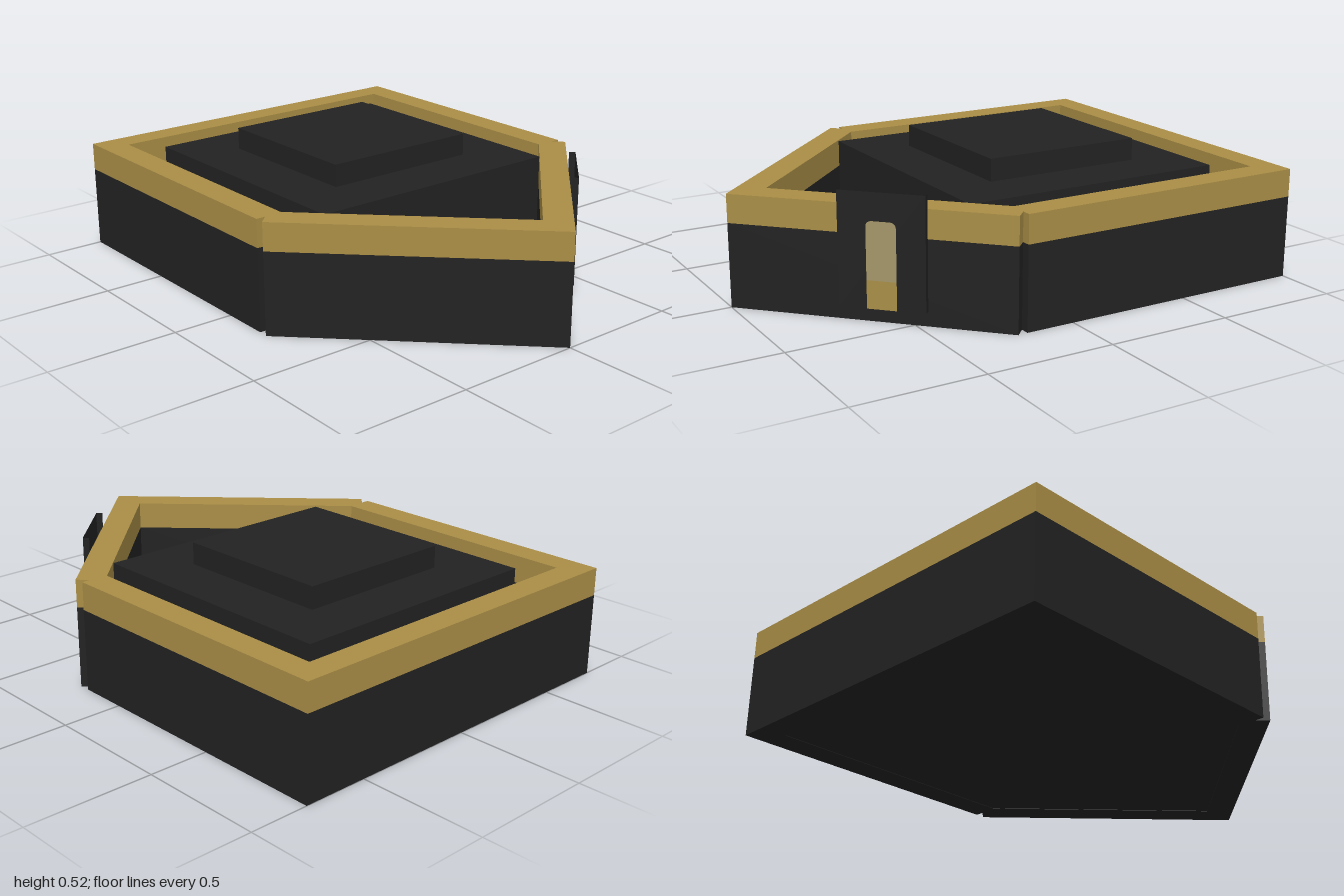
import * as THREE from 'three';

const dark = new THREE.MeshStandardMaterial({ color: 0x222222, side: THREE.DoubleSide });
dark.name = 'charcoal';
const gold = new THREE.MeshStandardMaterial({ color: 0xaa8e46 });
gold.name = 'gold';
const glass = new THREE.MeshStandardMaterial({ color: 0xa5976b });
glass.name = 'pale glass';

// Upright prism from a plan outline of [x, z] points
function prism(name, plan, y0, y1, material) {
  const shape = new THREE.Shape(plan.map(([x, z]) => new THREE.Vector2(x, -z)));
  const geo = new THREE.ExtrudeGeometry(shape, { depth: y1 - y0, bevelEnabled: false });
  geo.rotateX(-Math.PI / 2).translate(0, y0, 0);
  const mesh = new THREE.Mesh(geo, material);
  mesh.name = name;
  return mesh;
}

const rect = (x, z0, z1) => [[-x, z0], [x, z0], [x, z1], [-x, z1]];

function createDoor() {
  const door = new THREE.Group();
  door.name = 'door';
  const add = (name, geo, material, x, y, z, ry = 0) => {
    const mesh = new THREE.Mesh(geo, material);
    mesh.name = name;
    mesh.position.set(x, y, z);
    mesh.rotation.y = ry;
    door.add(mesh);
  };
  // Open-topped surround standing proud of the wall
  const w = 0.325, h = 0.433, d = 0.025, y = 0.273;
  add('doorSurround', new THREE.PlaneGeometry(w, h), dark, 0, y, 0);
  for (const s of [-1, 1])
    add('doorSurroundSide', new THREE.PlaneGeometry(d, h), dark, s * w / 2, y, -d / 2, s * Math.PI / 2);

  // Pane with rounded top corners, and the kick panel below it
  const a = 0.056, r = 0.025, top = 0.385;
  const pane = new THREE.Shape();
  pane.moveTo(-a, 0.165);
  pane.lineTo(a, 0.165);
  pane.lineTo(a, top - r);
  pane.quadraticCurveTo(a, top, a - r, top);
  pane.lineTo(-a + r, top);
  pane.quadraticCurveTo(-a, top, -a, top - r);
  add('doorPane', new THREE.ShapeGeometry(pane), glass, 0, 0, 0.004);
  add('doorKickPanel', new THREE.PlaneGeometry(2 * a, 0.107), gold, 0, 0.1115, 0.004);

  door.position.set(0.439, 0, 0.599);
  door.rotation.y = Math.PI / 4;
  return door;
}

export function createModel() {
  const model = new THREE.Group();
  model.name = 'building';

  // Wall plans: three straight sides and two slanted front walls
  const straight = [
    [-0.763, 0.195], [-0.763, -1], [0.763, -1], [0.763, 0.195],
    [0.655, 0.195], [0.655, -0.895], [-0.655, -0.895], [-0.655, 0.195],
  ];
  const slanted = s => [[0, 1], [s * 0.766, 0.234], [s * 0.688, 0.156], [0, 0.845]];
  const plans = { rearWalls: straight, frontLeftWall: slanted(1), frontRightWall: slanted(-1) };

  for (const [name, plan] of Object.entries(plans)) {
    model.add(prism(name, plan, 0, 0.325, dark));
    model.add(prism(name + 'Band', plan, 0.325, 0.435, gold));
  }

  // Floor, raised platform and its cap
  const inner = [[-0.66, -0.9], [0.66, -0.9], [0.66, 0.19], [0, 0.85], [-0.66, 0.19]];
  model.add(prism('floor', inner, 0.002, 0.05, dark));
  model.add(prism('platform', rect(0.545, -0.785, 0.3), 0.05, 0.43, dark));
  model.add(prism('platformCap', rect(0.325, -0.57, 0.082), 0.43, 0.518, dark));

  model.add(createDoor());
  return model;
}
